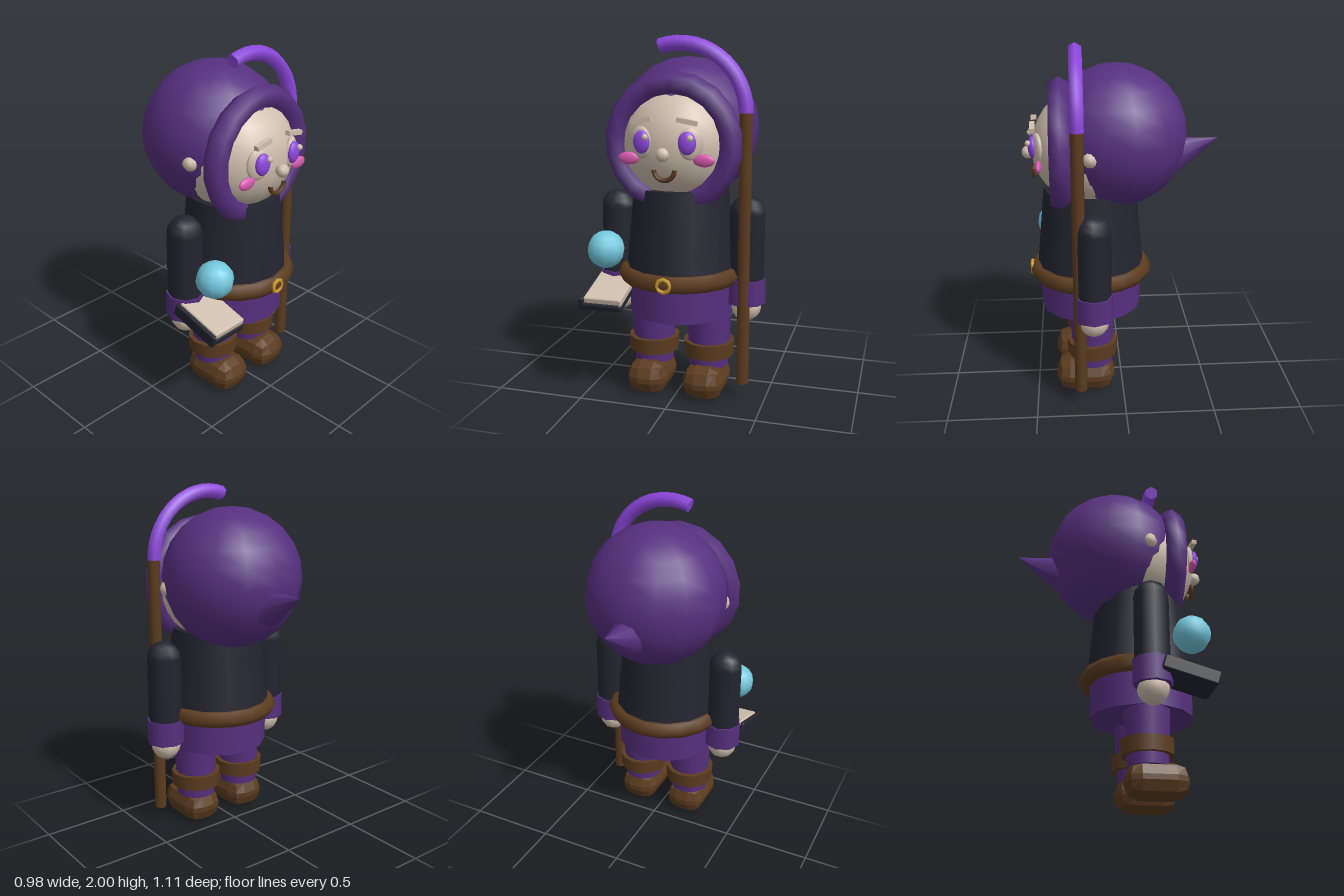
import * as THREE from 'three';
import { RoundedBoxGeometry } from 'three/addons/geometries/RoundedBoxGeometry.js';
import { toCreasedNormals } from 'three/addons/utils/BufferGeometryUtils.js';

const colour = (name, hex) => {
  const m = new THREE.MeshStandardMaterial({ color: hex });
  m.name = name;
  return m;
};

export function createModel() {
  const purple = colour('purple cloth', 0x56307f);
  const violet = colour('bright violet', 0x8f48e0);
  const dark = colour('dark cloth', 0x23242f);
  const brown = colour('brown leather', 0x5c3c20);
  const skin = colour('pale skin', 0xcfbfae);
  const cyan = colour('cyan glow', 0x74c8de);
  const gold = colour('gold', 0xc8982c);
  const pink = colour('pink', 0xd95bb0);

  const model = new THREE.Group();
  model.name = 'hoodedFigure';
  const Z = 0.177; // depth of the body axis

  const add = (name, geo, mat, x, y, z, parent = model) => {
    const m = new THREE.Mesh(geo, mat);
    m.name = name;
    m.position.set(x, y, z);
    parent.add(m);
    return m;
  };
  const ball = (r, w = 12, h = 8) => new THREE.SphereGeometry(r, w, h);
  const ellipsoid = (name, mat, x, y, z, rx, ry, rz) => {
    const m = add(name, ball(1, 14, 10), mat, x, y, z);
    m.scale.set(rx, ry, rz);
    return m;
  };
  // cylinder between two heights
  const drum = (name, mat, rTop, rBottom, y0, y1, x, z, sides) =>
    add(name, new THREE.CylinderGeometry(rTop, rBottom, y1 - y0, sides), mat, x, (y0 + y1) / 2, z);

  // torso, trousers and belt
  drum('tunic', dark, 0.262, 0.31, 0.7, 1.19, 0, Z, 14);
  drum('hips', purple, 0.295, 0.29, 0.475, 0.7, 0, Z, 14);
  const beltGeo = new THREE.TorusGeometry(0.305, 0.05, 6, 18).rotateX(Math.PI / 2).rotateY(Math.PI / 2);
  add('belt', beltGeo, brown, 0, 0.705, Z);
  add('buckle', new THREE.TorusGeometry(0.036, 0.012, 6, 8), gold, 0, 0.705, 0.518);

  // head and hood
  add('head', ball(0.33, 18, 14), skin, 0, 1.43, 0.17);
  add('hoodBack', ball(0.398, 14, 12).rotateY(Math.PI / 2), purple, 0, 1.492, 0.025);
  add('hoodRim', new THREE.TorusGeometry(0.315, 0.065, 6, 18).rotateZ(Math.PI / 2), purple, 0, 1.44, 0.34);
  add('hoodPoint', new THREE.ConeGeometry(0.108, 0.28, 8), purple, 0, 1.417, -0.423)
    .rotation.x = THREE.MathUtils.degToRad(-70);

  // face
  add('nose', ball(0.037, 8, 6), skin, 0, 1.4, 0.518);
  add('mouth', new THREE.TorusGeometry(0.056, 0.013, 6, 12, Math.PI).rotateZ(Math.PI), brown, 0, 1.32, 0.488);
  for (const s of [-1, 1]) {
    ellipsoid('eye', skin, s * 0.132, 1.455, 0.462, 0.065, 0.085, 0.024).rotation.y = s * 0.35;
    ellipsoid('iris', violet, s * 0.122, 1.46, 0.488, 0.047, 0.06, 0.025).rotation.y = s * 0.15;
    add('eyeGlint', ball(0.017, 8, 6), skin, s * 0.12 + 0.024, 1.487, 0.51);
    ellipsoid('cheek', pink, s * 0.203, 1.37, 0.457, 0.058, 0.033, 0.018);
    add('brow', new THREE.BoxGeometry(0.108, 0.025, 0.028), skin, s * 0.121, 1.57, 0.486)
      .rotation.z = -s * 0.18;
    add('ear', ball(0.044, 8, 6), skin, s * 0.333, 1.442, 0.18);
  }

  // arms and legs
  const shoeGeo = toCreasedNormals(new RoundedBoxGeometry(0.232, 0.185, 0.338, 1, 0.078), 0.1);
  for (const s of [-1, 1]) {
    const ax = s * 0.375;
    add('arm', new THREE.CapsuleGeometry(0.098, 0.4, 4, 8), dark, ax, 0.852, 0.172);
    drum('cuff', purple, 0.108, 0.108, 0.545, 0.685, ax, 0.172, 8).rotation.y = Math.PI / 2;
    add('hand', ball(0.086, 10, 8), skin, ax, 0.525, 0.173);

    const lx = s * 0.163;
    drum('leg', purple, 0.13, 0.113, 0.165, 0.5, lx, Z, 12);
    drum('bootBand', brown, 0.147, 0.143, 0.225, 0.31, lx, Z, 12);
    add('shoe', shoeGeo, brown, lx, 0.0925, 0.22);
  }

  // crook staff in the left hand
  drum('staffRod', brown, 0.035, 0.035, 0.095, 1.6, 0.376, 0.25, 8);
  add('staffCrook', new THREE.TorusGeometry(0.36, 0.041, 6, 14, Math.PI * 0.6), violet, 0.014, 1.6, 0.248);
  // end caps of the crook
  for (const [a, turn] of [[0, Math.PI / 2], [Math.PI * 0.6, -Math.PI / 2]]) {
    const cap = add('crookCap', new THREE.CircleGeometry(0.041, 6), violet,
      0.014 + 0.36 * Math.cos(a), 1.6 + 0.36 * Math.sin(a), 0.248);
    cap.rotation.set(turn, 0, a, 'ZXY');
  }

  // open book with a floating orb above the right hand
  const book = new THREE.Group();
  book.name = 'book';
  book.position.set(-0.37, 0.598, 0.355);
  book.rotation.x = 0.28;
  model.add(book);
  add('bookCover', new RoundedBoxGeometry(0.248, 0.05, 0.305, 2, 0.02), dark, 0, -0.014, 0, book);
  add('bookSpine', new RoundedBoxGeometry(0.025, 0.075, 0.305, 2, 0.01), dark, -0.112, 0, 0, book);
  add('bookPages', new RoundedBoxGeometry(0.218, 0.045, 0.285, 2, 0.01), skin, 0.012, 0.018, 0, book);
  add('orb', ball(0.104, 10, 8), cyan, -0.368, 0.85, 0.392);

  return model;
}
